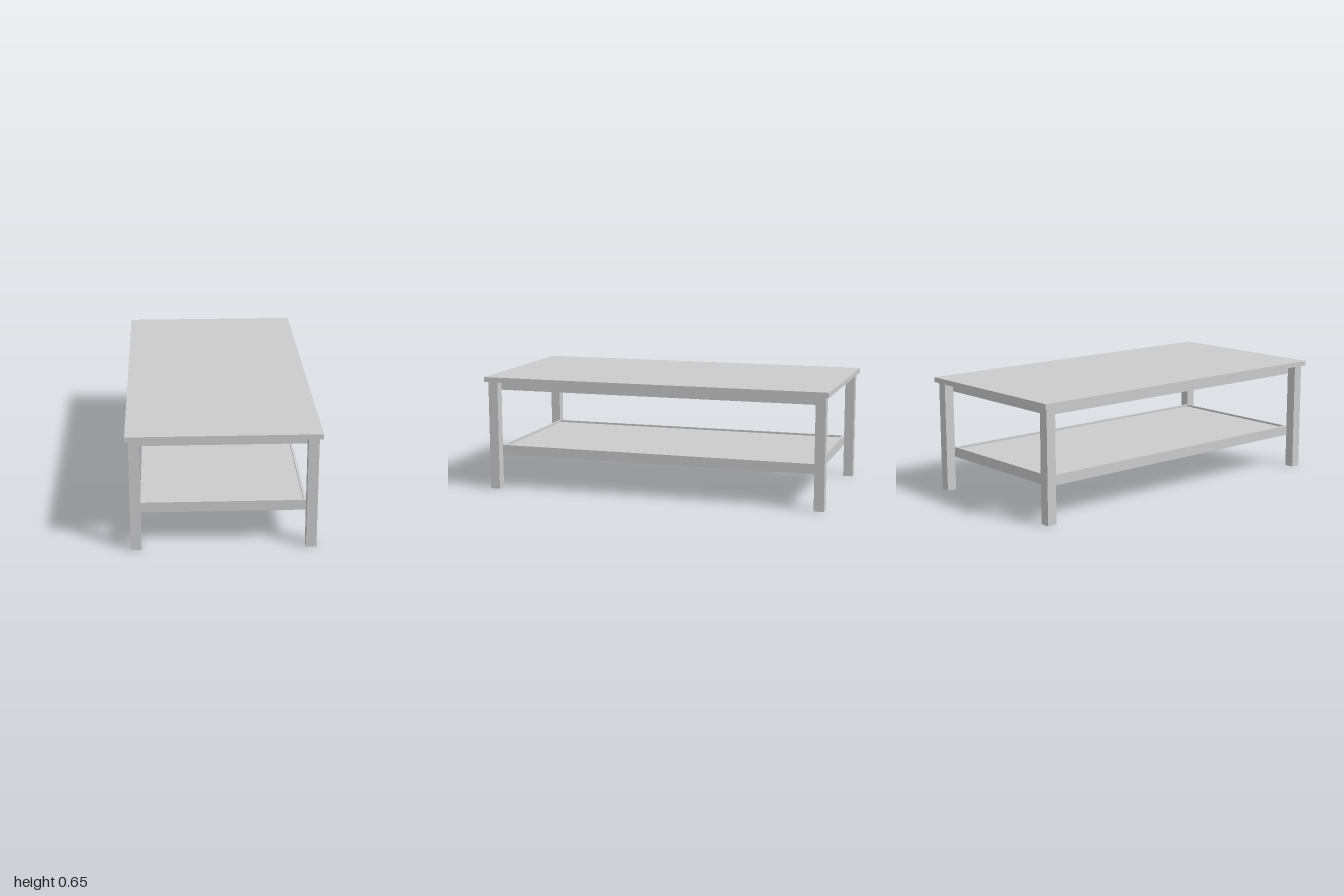
import * as THREE from 'three';

const material = new THREE.MeshStandardMaterial({ color: 0xcccccc, flatShading: true });

// Box given by its size and centre in plan, resting on a base height
function addBox(parent, name, [w, h, d], [x, base, z]) {
  const mesh = new THREE.Mesh(new THREE.BoxGeometry(w, h, d), material);
  mesh.name = name;
  mesh.position.set(x, base + h / 2, z);
  parent.add(mesh);
}

export function createModel() {
  const table = new THREE.Group();
  table.name = 'coffeeTable';

  const topBase = 0.627;
  const leg = 0.056;
  const legX = 0.466, legZ = 0.953;     // leg centres
  const frameX = 0.44, frameZ = 0.926;  // outer half sizes of apron and shelf

  // Top and the apron block beneath it
  addBox(table, 'tableTop', [1.024, 0.028, 2], [0, topBase, 0]);
  addBox(table, 'apron', [frameX * 2, 0.052, frameZ * 2], [0, 0.575, 0]);

  // Legs
  for (const sx of [-1, 1]) {
    for (const sz of [-1, 1]) {
      addBox(table, `${sz > 0 ? 'front' : 'back'}${sx > 0 ? 'Left' : 'Right'}Leg`,
        [leg, topBase, leg], [sx * legX, 0, sz * legZ]);
    }
  }

  // Lower shelf: a board set slightly below the top of its rails
  const shelf = new THREE.Group();
  shelf.name = 'shelf';
  table.add(shelf);
  const rail = 0.014, railBase = 0.193, railHeight = 0.057, recess = 0.011;
  const innerX = frameX - rail, innerZ = frameZ - rail;
  addBox(shelf, 'shelfBoard', [innerX * 2, railHeight - recess, innerZ * 2], [0, railBase, 0]);
  for (const s of [-1, 1]) {
    addBox(shelf, s > 0 ? 'leftRail' : 'rightRail',
      [rail, railHeight, frameZ * 2], [s * (frameX - rail / 2), railBase, 0]);
    addBox(shelf, s > 0 ? 'frontRail' : 'backRail',
      [innerX * 2, railHeight, rail], [0, railBase, s * (frameZ - rail / 2)]);
  }

  return table;
}
